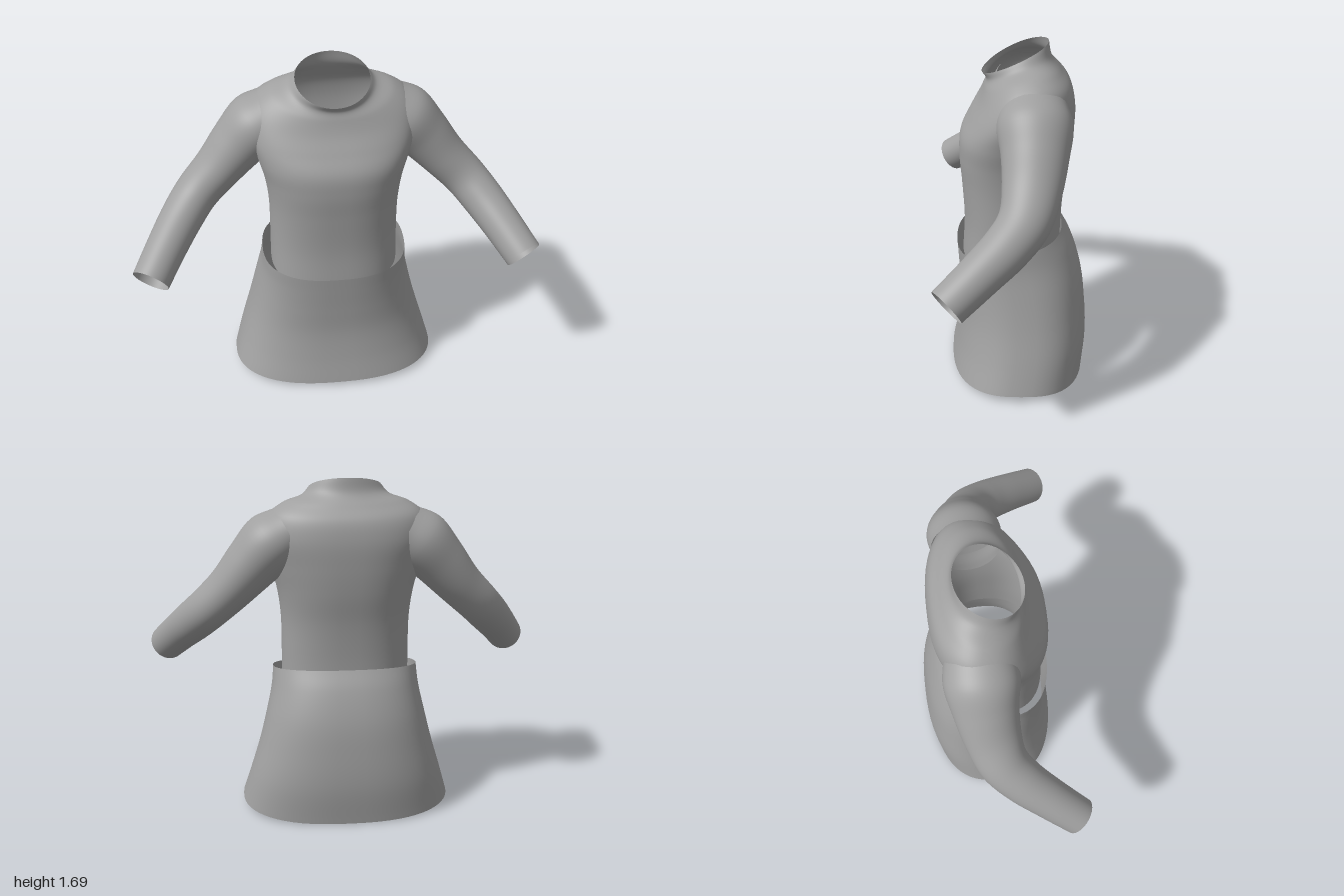
import * as THREE from 'three';

const SEGMENTS = 64;

// Smooth open skin through a list of closed rings (each SEGMENTS points)
function loft(rings, rows) {
  const pos = [], index = [];
  const strands = rings[0].map((_, j) => new THREE.CatmullRomCurve3(rings.map(r => r[j])));
  for (let i = 0; i <= rows; i++) {
    for (const strand of strands) pos.push(...strand.getPoint(i / rows).toArray());
  }
  for (let i = 0; i < rows; i++) {
    for (let j = 0; j < SEGMENTS; j++) {
      const a = i * SEGMENTS + j, b = i * SEGMENTS + (j + 1) % SEGMENTS;
      index.push(a, a + SEGMENTS, b, b, a + SEGMENTS, b + SEGMENTS);
    }
  }
  const geo = new THREE.BufferGeometry();
  geo.setAttribute('position', new THREE.Float32BufferAttribute(pos, 3));
  geo.setIndex(index);
  geo.computeVertexNormals();
  return geo;
}

const soften = (v, n) => Math.sign(v) * Math.pow(Math.abs(v), 2 / n);

// Tilted, rounded body ring: half width, front/back z, then y at front, side and back
function bodyRing([w, zF, zB, yF, yS, yB, n = 2.5]) {
  return Array.from({ length: SEGMENTS }, (_, j) => {
    const t = (j / SEGMENTS) * Math.PI * 2;
    const c = soften(Math.cos(t), n), s = soften(Math.sin(t), n);
    return new THREE.Vector3(
      w * c,
      yS + (yF - yB) / 2 * s + ((yF + yB) / 2 - yS) * s * s,
      (zF + zB) / 2 + (zF - zB) / 2 * s
    );
  });
}

// Sleeve rings follow a bent centre line: x, y, z, radius across, radius in depth
const SLEEVE = [
  [0.27, 1.43, -0.09, 0.13, 0.16],
  [0.36, 1.375, -0.09, 0.15, 0.175],
  [0.455, 1.275, -0.085, 0.135, 0.155],
  [0.565, 1.15, -0.065, 0.115, 0.135],
  [0.67, 1.045, -0.025, 0.107, 0.12],
  [0.745, 0.965, 0.055, 0.104, 0.11],
  [0.825, 0.875, 0.175, 0.098, 0.1],
  [0.91, 0.772, 0.315, 0.092, 0.092]
];

function sleeveGeometry(side) {
  const centres = SLEEVE.map(([x, y, z]) => new THREE.Vector3(side * x, y, z));
  const rings = SLEEVE.map(([, , , across, depth], i) => {
    const before = centres[Math.max(i - 1, 0)];
    const after = centres[Math.min(i + 1, centres.length - 1)];
    const dir = after.clone().sub(before).normalize();
    const u = new THREE.Vector3(0, 0, 1).cross(dir).normalize();
    const v = u.clone().cross(dir);
    return Array.from({ length: SEGMENTS }, (_, j) => {
      const t = (j / SEGMENTS) * Math.PI * 2;
      return centres[i].clone()
        .addScaledVector(u, across * Math.cos(t))
        .addScaledVector(v, depth * Math.sin(t));
    });
  });
  return loft(rings, 42);
}

export function createModel() {
  const group = new THREE.Group();
  const cloth = new THREE.MeshStandardMaterial({ color: 0xa0a0a0, side: THREE.DoubleSide });
  cloth.name = 'grey cloth';

  const add = (name, geometry) => {
    const mesh = new THREE.Mesh(geometry, cloth);
    mesh.name = name;
    group.add(mesh);
  };

  // Flared skirt, hem to waistband
  add('skirt', loft([
    [0.53, 0.315, -0.362, 0.025, 0.04, 0.005],
    [0.485, 0.285, -0.38, 0.17, 0.19, 0.2],
    [0.44, 0.266, -0.372, 0.32, 0.34, 0.37],
    [0.4, 0.268, -0.35, 0.46, 0.5, 0.53],
    [0.372, 0.275, -0.3, 0.59, 0.63, 0.68],
    [0.363, 0.28, -0.25, 0.67, 0.725, 0.77]
  ].map(bodyRing), 40));

  // Shirt body, waist to open raised collar
  add('shirtBody', loft([
    [0.32, 0.25, -0.24, 0.62, 0.66, 0.7],
    [0.318, 0.24, -0.245, 0.8, 0.82, 0.84],
    [0.32, 0.25, -0.26, 1.0, 1.0, 1.0],
    [0.338, 0.26, -0.285, 1.14, 1.14, 1.15],
    [0.37, 0.252, -0.298, 1.24, 1.26, 1.28],
    [0.4, 0.205, -0.3, 1.33, 1.39, 1.41],
    [0.38, 0.16, -0.28, 1.41, 1.5, 1.5, 2.4],
    [0.3, 0.135, -0.235, 1.475, 1.565, 1.56, 2.3],
    [0.21, 0.125, -0.19, 1.515, 1.595, 1.62, 2.1],
    [0.178, 0.145, -0.175, 1.545, 1.625, 1.69, 2]
  ].map(bodyRing), 60));

  // Bent sleeves with open cuffs
  add('leftSleeve', sleeveGeometry(1));
  add('rightSleeve', sleeveGeometry(-1));

  return group;
}
